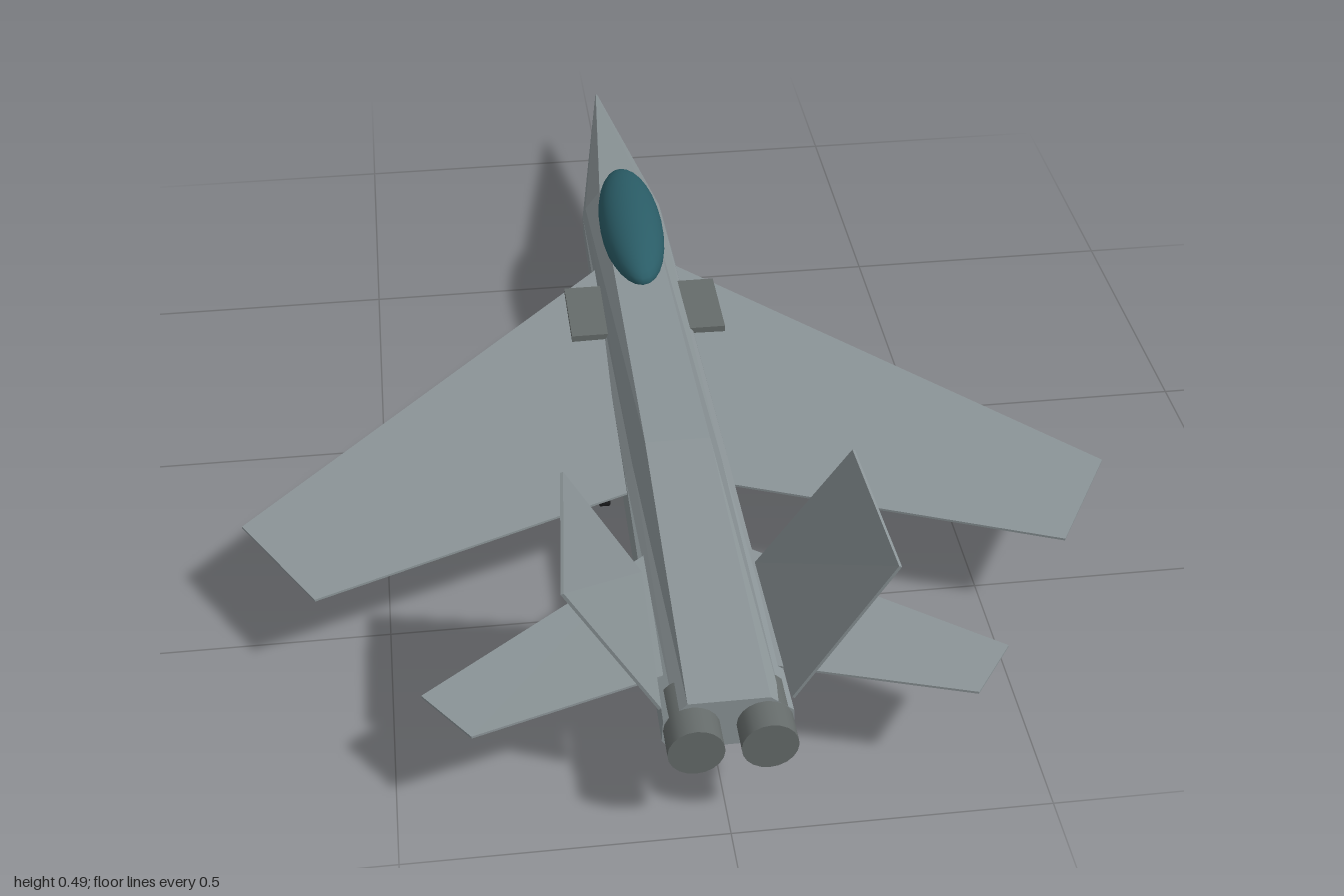
import * as THREE from 'three';

const paint = (name, color) => {
  const m = new THREE.MeshStandardMaterial({ color });
  m.name = name;
  return m;
};

// Closed faceted solid through rings of [x, y, z] points, wound to face outward
function loft(rings) {
  const tris = [];
  const n = rings[0].length;
  for (let r = 0; r < rings.length - 1; r++) {
    for (let i = 0; i < n; i++) {
      const j = (i + 1) % n;
      const a = rings[r][i], b = rings[r][j], c = rings[r + 1][j], d = rings[r + 1][i];
      tris.push([a, b, c], [a, c, d]);
    }
  }
  const last = rings[rings.length - 1];
  for (let i = 1; i < n - 1; i++) {
    tris.push([rings[0][0], rings[0][i + 1], rings[0][i]], [last[0], last[i], last[i + 1]]);
  }
  const v = (p) => new THREE.Vector3(...p);
  const o = v(rings[0][0]);
  let volume = 0;
  for (const [a, b, c] of tris) volume += v(a).sub(o).dot(v(b).sub(o).cross(v(c).sub(o)));
  if (volume < 0) tris.forEach((t) => t.reverse());
  const g = new THREE.BufferGeometry();
  g.setAttribute('position', new THREE.Float32BufferAttribute(tris.flat(2), 3));
  g.computeVertexNormals();
  return g;
}

// Thin plate from an outline, mirrored in x by side
function plate(points, side, thickness = 0.004) {
  const p = points.map(([x, y, z]) => new THREE.Vector3(x * side, y, z));
  const normal = p[2].clone().sub(p[0]).cross(p[3].clone().sub(p[1])).normalize();
  return loft([-0.5, 0.5].map((k) =>
    p.map((q) => q.clone().addScaledVector(normal, k * thickness).toArray())));
}

export function createModel() {
  const model = new THREE.Group();
  model.name = 'jetAircraft';
  const skin = paint('airframeGrey', 0x8b9497);
  const dark = paint('darkGrey', 0x666c6b);
  const glass = paint('canopyTeal', 0x2a5c66);
  const strutGrey = paint('strutGrey', 0x5c6062);
  const rubber = paint('tyreBlack', 0x252628);

  const add = (name, geometry, material, x = 0, y = 0, z = 0) => {
    const mesh = new THREE.Mesh(geometry, material);
    mesh.name = name;
    mesh.position.set(x, y, z);
    model.add(mesh);
    return mesh;
  };

  // Fuselage: each section is z followed by its half outline, top to bottom
  const sections = [
    [-1, [0.001, 0.169], [0.002, 0.168], [0.002, 0.167], [0.002, 0.166], [0.001, 0.165]],
    [-0.48, [0.045, 0.238], [0.074, 0.2], [0.08, 0.18], [0.08, 0.145], [0.075, 0.128]],
    [0.37, [0.055, 0.265], [0.076, 0.215], [0.09, 0.2], [0.092, 0.14], [0.088, 0.125]],
    [0.95, [0.062, 0.23], [0.08, 0.212], [0.098, 0.2], [0.1, 0.16], [0.088, 0.14]],
  ];
  add('fuselage', loft(sections.map(([z, ...half]) => [
    ...half.map(([x, y]) => [x, y, z]),
    ...half.slice().reverse().map(([x, y]) => [-x, y, z]),
  ])), skin);

  // Canopy bubble
  const bubble = new THREE.SphereGeometry(1, 28, 18);
  bubble.scale(0.06, 0.052, 0.2);
  add('canopy', bubble, glass, 0, 0.253, -0.32);

  // Landing gear leg and wheel
  const gear = (name, x, z) => {
    add(name + 'Strut', new THREE.CylinderGeometry(0.006, 0.006, 0.12, 8), strutGrey, x, 0.088, z);
    const wheel = new THREE.CylinderGeometry(0.028, 0.028, 0.018, 14);
    wheel.rotateZ(Math.PI / 2);
    add(name + 'Wheel', wheel, rubber, x, 0.028, z);
  };
  gear('nose', 0, -0.51);

  for (const side of [1, -1]) {
    const label = side > 0 ? 'left' : 'right';

    // Swept wing, tailplane and canted fin
    add(label + 'Wing', plate([
      [0.07, 0.193, -0.27], [0.73, 0.182, 0.41], [0.61, 0.183, 0.605], [0.07, 0.193, 0.405],
    ], side), skin);
    add(label + 'Tailplane', plate([
      [0.08, 0.205, 0.585], [0.45, 0.194, 0.85], [0.38, 0.196, 0.945], [0.08, 0.205, 0.86],
    ], side), skin);
    add(label + 'Fin', plate([
      [0.093, 0.205, 0.625], [0.22, 0.49, 0.71], [0.241, 0.466, 0.95], [0.1, 0.205, 0.93],
    ], side, 0.005), skin);

    // Air intake
    add(label + 'Intake', new THREE.BoxGeometry(0.07, 0.08, 0.158), dark, side * 0.107, 0.166, -0.112);

    // Engine nozzle
    const nozzle = new THREE.CylinderGeometry(0.043, 0.043, 0.11, 20);
    nozzle.rotateX(Math.PI / 2);
    add(label + 'Nozzle', nozzle, dark, side * 0.055, 0.18, 0.945);

    gear(label + 'Main', side * 0.11, 0.2);
  }
  return model;
}
